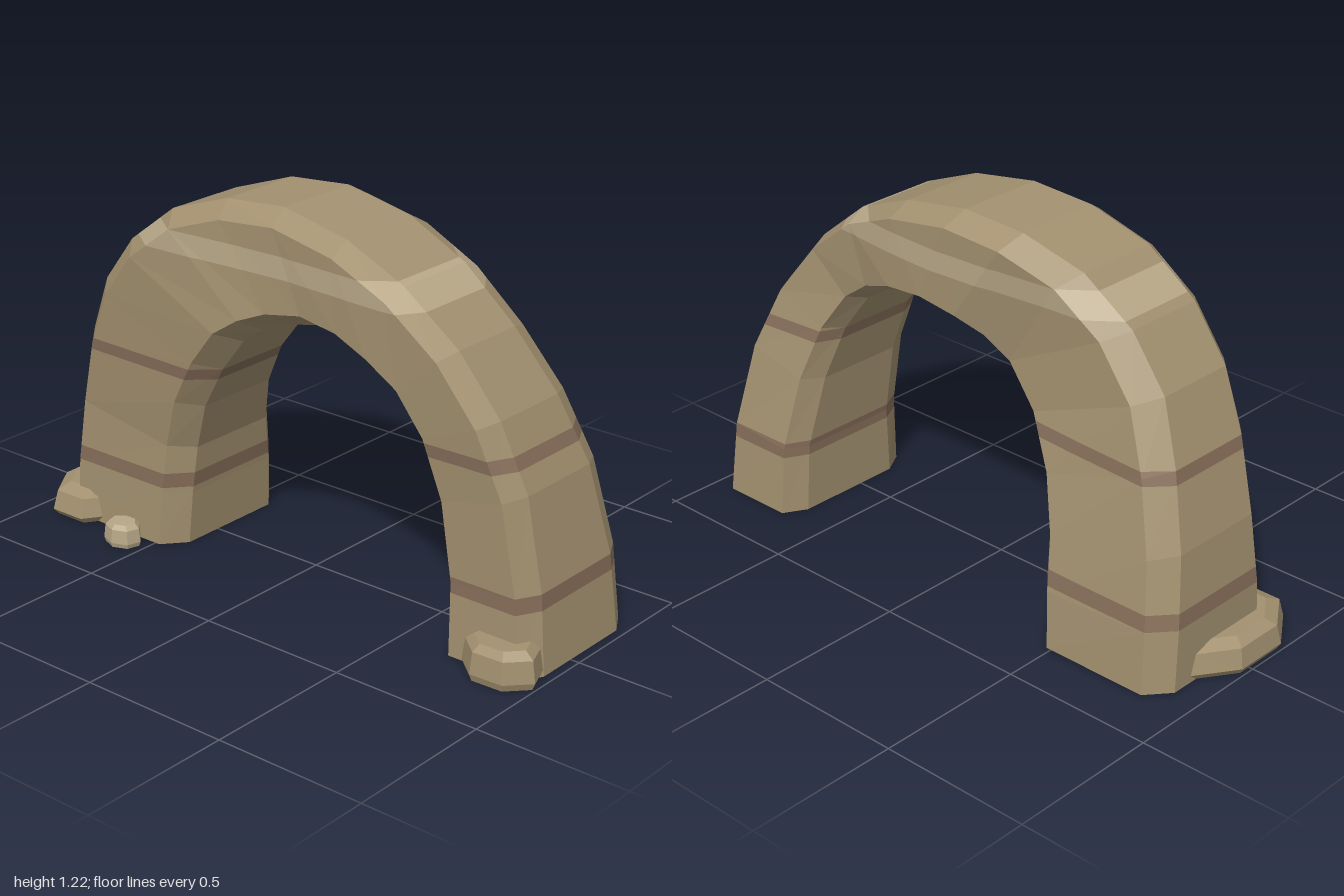
import * as THREE from 'three';

const STONE = 0xa39170, DARK = 0x876e5a, LIGHT = 0xb8a888;

// Stations along the arch: outer x, y, inner x, y, front z, back z
const STATIONS = [
  [-0.91, 0, -0.42, 0, 0.21, -0.325],
  [-0.905, 0.2, -0.405, 0.18, 0.205, -0.31],
  [-0.875, 0.42, -0.385, 0.34, 0.2, -0.275],
  [-0.81, 0.65, -0.33, 0.5, 0.22, -0.23],
  [-0.73, 0.84, -0.24, 0.65, 0.235, -0.19],
  [-0.6, 1.0, -0.14, 0.77, 0.248, -0.18],
  [-0.43, 1.13, -0.06, 0.82, 0.24, -0.195],
  [-0.22, 1.2, 0.02, 0.855, 0.225, -0.22],
  [0, 1.215, 0.14, 0.88, 0.22, -0.228],
  [0.25, 1.17, 0.27, 0.868, 0.232, -0.215],
  [0.47, 1.08, 0.38, 0.83, 0.245, -0.19],
  [0.66, 0.93, 0.47, 0.77, 0.235, -0.18],
  [0.8, 0.75, 0.55, 0.65, 0.222, -0.205],
  [0.89, 0.54, 0.605, 0.47, 0.205, -0.25],
  [0.945, 0.25, 0.638, 0.23, 0.2, -0.3],
  [0.97, 0, 0.64, 0, 0.21, -0.315],
];

// Horizontal colour bands: name, bottom, top, colour
const BANDS = [
  ['lowerStone', -1, 0.2, STONE],
  ['lowerDarkBand', 0.2, 0.25, DARK],
  ['middleStone', 0.25, 0.61, STONE],
  ['upperDarkBand', 0.61, 0.65, DARK],
  ['shoulderStone', 0.65, 1.02, STONE],
  ['lightBand', 1.02, 1.09, LIGHT],
  ['crownStone', 1.09, 2, STONE],
];

const rock = (color) => new THREE.MeshStandardMaterial({ color, flatShading: true });

// Chamfered eight-sided cross-section
function section([ox, oy, ix, iy, zf, zb]) {
  const t = 0.13, c = 0.075;
  const at = (k, z) => new THREE.Vector3(ox + (ix - ox) * k, oy + (iy - oy) * k, z);
  return [
    at(t, zf), at(1 - t, zf), at(1, zf - c), at(1, zb + c),
    at(1 - t, zb), at(t, zb), at(0, zb + c), at(0, zf - c),
  ];
}

// Keep the part of a convex polygon on one side of a height
function clip(poly, y, sign) {
  const out = [];
  poly.forEach((a, i) => {
    const b = poly[(i + 1) % poly.length];
    const da = (a.y - y) * sign, db = (b.y - y) * sign;
    if (da >= 0) out.push(a);
    if (da * db < 0) out.push(a.clone().lerp(b, da / (da - db)));
  });
  return out;
}

function makeArch() {
  const loops = STATIONS.map(section);
  const triangles = [];
  // Skin between neighbouring sections
  for (let s = 0; s < loops.length - 1; s++) {
    for (let i = 0; i < 8; i++) {
      const j = (i + 1) % 8;
      const a = loops[s][i], b = loops[s][j], c = loops[s + 1][j], d = loops[s + 1][i];
      triangles.push([a, b, c], [a, c, d]);
    }
  }
  // Feet
  const first = loops[0], last = loops[loops.length - 1];
  for (let i = 1; i < 7; i++) {
    triangles.push([first[0], first[i + 1], first[i]], [last[0], last[i], last[i + 1]]);
  }

  const arch = new THREE.Group();
  arch.name = 'arch';
  for (const [name, low, high, color] of BANDS) {
    const points = [];
    for (const tri of triangles) {
      const p = clip(clip(tri, low, 1), high, -1);
      for (let k = 1; k < p.length - 1; k++) points.push(p[0], p[k], p[k + 1]);
    }
    const geometry = new THREE.BufferGeometry().setFromPoints(points);
    geometry.computeVertexNormals();
    const mesh = new THREE.Mesh(geometry, rock(color));
    mesh.name = name;
    arch.add(mesh);
  }
  return arch;
}

// Low faceted boulder resting on the ground
function makeBoulder(name, x, z, rx, rz, height, sides, turn, color) {
  const profile = [[0, 0], [0.92, 0], [1, 0.2], [0.92, 0.8], [0.7, 1], [0, 1]]
    .map(([r, y]) => new THREE.Vector2(r, y));
  const geometry = new THREE.LatheGeometry(profile, sides);
  geometry.rotateY(turn);
  geometry.scale(rx, height, rz);
  const mesh = new THREE.Mesh(geometry, rock(color));
  mesh.name = name;
  mesh.position.set(x, 0, z);
  return mesh;
}

export function createModel() {
  const model = new THREE.Group();
  model.name = 'stoneArch';
  model.add(
    makeArch(),
    makeBoulder('rightBoulder', -0.845, 0.045, 0.165, 0.243, 0.105, 8, Math.PI / 8, STONE),
    makeBoulder('leftBoulder', 0.872, 0.205, 0.13, 0.098, 0.115, 7, 0.5, STONE),
    makeBoulder('pebble', -0.585, 0.27, 0.067, 0.055, 0.075, 7, 0, LIGHT),
  );
  return model;
}
